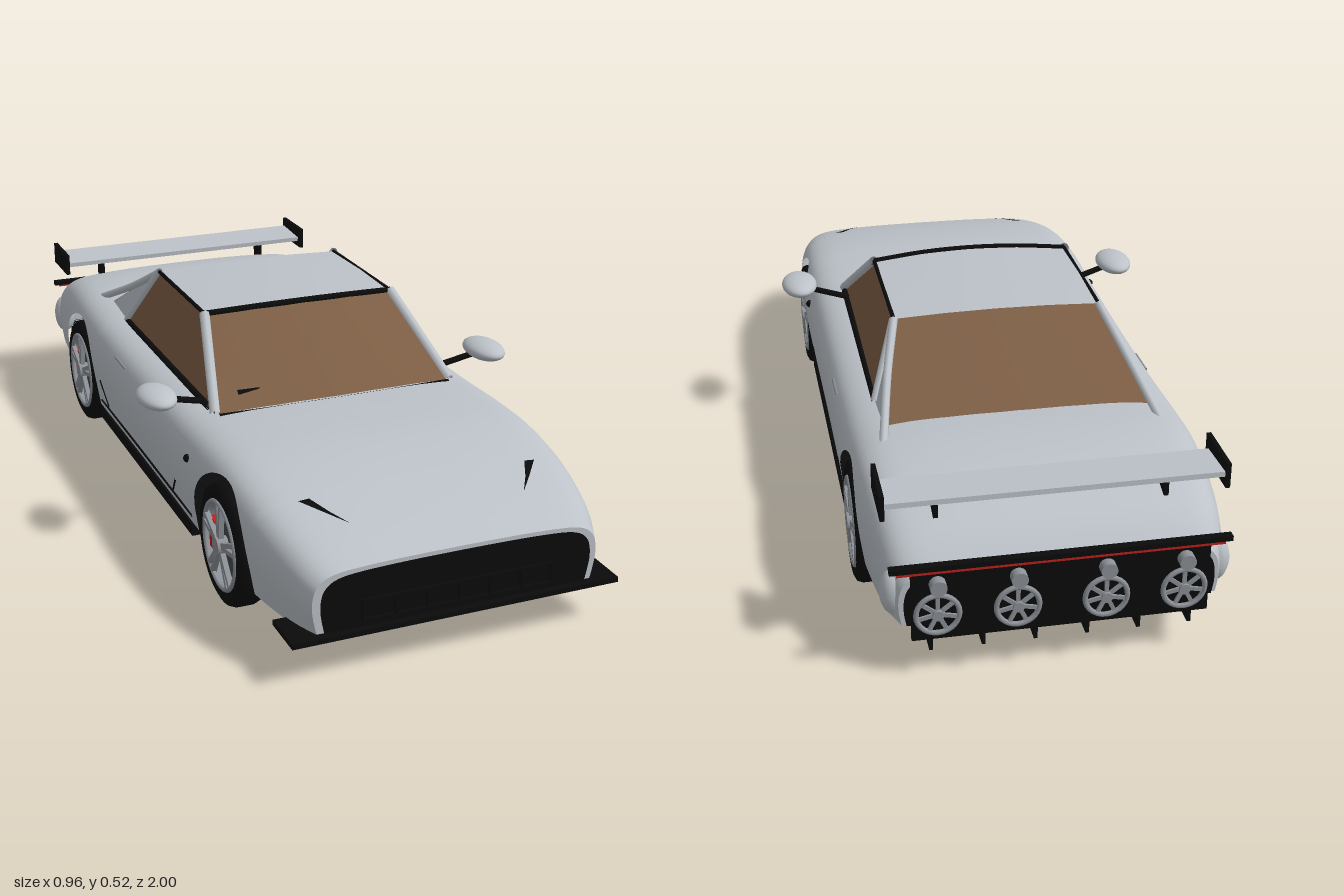
import * as THREE from 'three';

const mat = (name, color, side = THREE.FrontSide) => {
  const m = new THREE.MeshStandardMaterial({ color, side });
  m.name = name;
  return m;
};
const V = (x, y, z) => new THREE.Vector3(x, y, z);

// Body rules: [z, deck height, half width], rear to front
const STATIONS = [
  [-0.965, 0.26, 0.345], [-0.92, 0.3, 0.365], [-0.85, 0.333, 0.38], [-0.75, 0.358, 0.392],
  [-0.62, 0.369, 0.402], [-0.5, 0.363, 0.404], [-0.3, 0.351, 0.403], [0, 0.345, 0.402],
  [0.3, 0.345, 0.403], [0.45, 0.35, 0.404], [0.6, 0.348, 0.402], [0.75, 0.326, 0.392],
  [0.85, 0.3, 0.376], [0.93, 0.273, 0.355], [0.98, 0.247, 0.334]];
const rule = new THREE.CubicInterpolant(STATIONS.map(s => s[0]),
  STATIONS.flatMap(s => [s[1], s[2]]), 2, new Float32Array(2));

// Half cross-section in unit form, from the sill to the centre line
const PROFILE = new THREE.CatmullRomCurve3([
  [0.965, 0], [0.985, 0.2], [1, 0.42], [0.995, 0.62], [0.97, 0.77], [0.915, 0.88],
  [0.83, 0.94], [0.65, 0.975], [0.35, 0.995], [0, 1]].map(p => V(p[0], p[1], 0)));
const surface = (z, u) => {
  const [h, w] = rule.evaluate(z), p = PROFILE.getPoint(u);
  return V(p.x * w, 0.1 + (h - 0.1) * p.y, z);
};
const solve = test => {
  let a = 0, b = 1;
  for (let i = 0; i < 24; i++) { const m = (a + b) / 2; if (test(m)) a = m; else b = m; }
  return a;
};
const atHeight = (y, z) => surface(z, solve(u => surface(z, u).y < y));
const atWidth = (x, z) => surface(z, solve(u => u < 0.25 || surface(z, u).x > x));

const WHEELS = [0.6, -0.56], WHEEL_R = 0.142, ARCH_R = 0.163;
const sill = z => {
  for (const c of WHEELS) {
    const d = Math.abs(z - c);
    if (d <= ARCH_R) return WHEEL_R + Math.sqrt(ARCH_R * ARCH_R - d * d);
  }
  return z < -0.65 ? 0.13 : 0.1;
};

// Smooth sheet through a grid of points
function sheet(rows) {
  const g = new THREE.BufferGeometry(), n = rows[0].length, idx = [];
  g.setFromPoints(rows.flat());
  for (let i = 0; i < rows.length - 1; i++) for (let j = 0; j < n - 1; j++) {
    const a = i * n + j, b = a + n;
    idx.push(a, b, a + 1, b, b + 1, a + 1);
  }
  g.setIndex(idx);
  g.computeVertexNormals();
  return g;
}
function section(z, count = 28) {
  const u0 = solve(u => surface(z, u).y < sill(z)), half = [];
  for (let i = 0; i <= count; i++) half.push(surface(z, u0 + (1 - u0) * i / count));
  return [...half, ...half.slice(0, -1).reverse().map(p => V(-p.x, p.y, z))];
}

export function createModel() {
  const car = new THREE.Group();
  car.name = 'sportsCar';
  const silver = mat('silverPaint', 0xbcc2c8, THREE.DoubleSide);
  const black = mat('blackTrim', 0x0b0b0c, THREE.DoubleSide);
  const glass = mat('bronzeGlass', 0x7d5e45, THREE.DoubleSide);
  const metal = mat('wheelMetal', 0x8d9298, THREE.DoubleSide);
  const dark = mat('darkMetal', 0x45484c);
  const red = mat('red', 0xc0201c);

  const add = (name, geo, m, pos = [0, 0, 0], parent = car) => {
    const mesh = new THREE.Mesh(geo, m);
    mesh.name = name;
    mesh.position.set(...pos);
    parent.add(mesh);
    return mesh;
  };
  const box = (name, m, size, pos, parent) => add(name, new THREE.BoxGeometry(...size), m, pos, parent);
  const rod = (name, m, r, pts) => add(name, new THREE.TubeGeometry(
    new THREE.CatmullRomCurve3(pts), 12, r, 8), m);
  const both = fn => [1, -1].forEach(fn);

  // Body shell with open wheel arches
  const zs = [];
  for (let i = 0; i <= 80; i++) {
    const z = -0.965 + 1.945 * i / 80;
    if (WHEELS.every(c => Math.abs(z - c) > ARCH_R + 0.004)) zs.push(z);
  }
  for (const c of WHEELS) {
    zs.push(c - ARCH_R - 0.0005, c + ARCH_R + 0.0005);
    for (let i = 0; i <= 28; i++) zs.push(c + ARCH_R * 0.99999 * Math.cos(Math.PI * i / 28));
  }
  zs.sort((a, b) => a - b);
  add('bodyShell', sheet(zs.map(z => section(z))), silver);

  // Nose and tail faces, with black panels laid over them
  const cap = (name, z, k, m, at) => {
    const pts = section(z).map(p => new THREE.Vector2(p.x * k, 0.1 + (p.y - 0.1) * k));
    add(name, new THREE.ShapeGeometry(new THREE.Shape(pts)), m, [0, 0, at]);
  };
  cap('noseFace', 0.98, 1, silver, 0.98);
  cap('tailFace', -0.965, 1, silver, -0.965);
  cap('grille', 0.98, 0.95, black, 0.984);
  cap('tailPanel', -0.965, 0.97, black, -0.97);
  for (let i = 0; i < 7; i++) box('grilleBar', black, [0.006, 0.045, 0.008], [-0.222 + i * 0.074, 0.145, 0.987]);
  both(s => box('grilleRail', black, [0.45, 0.005, 0.008], [0, 0.145 + s * 0.023, 0.987]));

  // Splitter, floor, skirts and diffuser
  box('frontSplitter', black, [0.77, 0.012, 0.11], [0, 0.1, 0.945]);
  box('floor', black, [0.6, 0.02, 1.62], [0, 0.085, 0.1]);
  both(s => box('sideSkirt', black, [0.09, 0.03, 0.77], [s * 0.35, 0.085, 0.015]));
  const ramp = box('diffuser', black, [0.62, 0.008, 0.27], [0, 0.115, -0.84]);
  ramp.rotation.x = 0.13;
  for (let i = 0; i < 6; i++) box('diffuserFin', black, [0.008, 0.045, 0.22], [-0.28 + i * 0.112, 0.092, -0.87]);

  // Cabin glass and roof
  const bow = (x, y, z, dy, dz) => [-1, -0.5, 0, 0.5, 1].map(t =>
    V(x * t, y + dy * (1 - t * t), z + dz * (1 - t * t)));
  const cowl = bow(0.3, 0.335, 0.335, 0.006, 0.02), header = bow(0.25, 0.505, 0.095, 0.01, 0.02);
  const rearHeader = bow(0.25, 0.505, -0.265, 0.007, 0), rearBase = bow(0.31, 0.352, -0.51, 0.012, 0);
  add('windscreen', sheet([cowl, header]), glass);
  add('roof', sheet([header, bow(0.253, 0.508, -0.08, 0.01, 0), rearHeader]), silver);
  add('rearWindow', sheet([rearHeader, rearBase]), glass);
  rod('windscreenTopTrim', black, 0.008, header);
  rod('windscreenBaseTrim', black, 0.006, cowl);
  add('wiperMark', sheet([[V(-0.24, 0.376, 0.292), V(-0.24, 0.368, 0.304)],
    [V(-0.185, 0.377, 0.297), V(-0.185, 0.375, 0.3)]]), black);
  both(s => {
    const a = V(s * 0.25, 0.505, 0.095), b = V(s * 0.25, 0.505, -0.265);
    const c = V(s * 0.307, 0.337, 0.325), d = V(s * 0.312, 0.345, -0.37);
    const e = V(s * 0.31, 0.35, -0.52);
    add('sideWindow', sheet([[a, b], [c, d]]), glass);
    add('rearQuarter', sheet([[b, b], [d, e]]), silver);
    rod('windscreenPillar', silver, 0.013, [c, a]);
    rod('rearPillar', silver, 0.011, [b, d]);
    rod('rearButtress', silver, 0.01, [b, V(s * 0.285, 0.43, -0.4), V(s * 0.32, 0.348, -0.58)]);
    rod('roofRail', black, 0.005, [a, b]);
    rod('windowSillTrim', black, 0.008, [V(s * 0.31, 0.342, 0.29), d]);

    // Mirror on its stalk
    const mirror = add('mirror', new THREE.SphereGeometry(1, 24, 16), silver, [s * 0.433, 0.38, 0.27]);
    mirror.scale.set(0.046, 0.023, 0.074);
    rod('mirrorStalk', black, 0.008, [V(s * 0.305, 0.342, 0.25), V(s * 0.41, 0.37, 0.265)]);

    // Slim lamp slits on the bonnet
    const lift = (x, z) => { const p = atWidth(x, z); return V(s * x, p.y + 0.004, z); };
    add('lampSlit', sheet([[lift(0.285, 0.785), lift(0.26, 0.785)], [lift(0.245, 0.835), lift(0.235, 0.835)],
      [lift(0.206, 0.88), lift(0.206, 0.88)]]), black);

    // Door lines, handle and fender mark
    const line = (name, m, r, pts) => rod(name, m, r, pts.map(([y, z]) => {
      const p = atHeight(y, z); return V(s * p.x, y, z);
    }));
    line('doorLineFront', black, 0.003, [[0.175, 0.3], [0.13, 0.26]]);
    line('doorLineRear', black, 0.003, [[0.19, -0.345], [0.13, -0.295]]);
    line('doorLineLower', black, 0.003, [[0.122, 0.4], [0.122, -0.37]]);
    line('doorHandle', metal, 0.004, [[0.294, -0.14], [0.296, -0.23]]);
    const p = atHeight(0.267, 0.39);
    add('fenderMark', new THREE.SphereGeometry(0.01, 12, 8), black, [s * p.x, 0.267, 0.39]);
    const marker = add('rearCornerLamp', new THREE.SphereGeometry(1, 16, 12), silver, [s * 0.35, 0.19, -0.925]);
    marker.scale.set(0.03, 0.055, 0.03);

    // Wing end plate and strut
    box('wingEndPlate', black, [0.01, 0.058, 0.14], [s * 0.368, 0.386, -0.85]);
    box('wingStrut', black, [0.01, 0.06, 0.04], [s * 0.25, 0.352, -0.85]);
  });
  const wing = box('rearWing', silver, [0.73, 0.012, 0.115], [0, 0.383, -0.855]);
  wing.rotation.x = 0.06;

  // Tail lip, light strip and four fan outlets with pipes
  box('tailLip', black, [0.73, 0.012, 0.018], [0, 0.272, -0.976]);
  box('tailLightStrip', red, [0.7, 0.006, 0.008], [0, 0.262, -0.979]);
  box('tailBoard', black, [0.64, 0.17, 0.012], [0, 0.18, -0.971]);
  for (const x of [-0.265, -0.095, 0.095, 0.265]) {
    const fan = new THREE.Group();
    fan.name = 'tailFan';
    fan.position.set(x, 0.158, -0.98);
    car.add(fan);
    add('fanRing', new THREE.TorusGeometry(0.046, 0.006, 8, 28), metal, [0, 0, 0], fan);
    add('fanHub', new THREE.CylinderGeometry(0.012, 0.012, 0.014, 16).rotateX(Math.PI / 2), metal, [0, 0, -0.002], fan);
    for (let i = 0; i < 7; i++) {
      const a = i * Math.PI * 2 / 7;
      box('fanBlade', metal, [0.009, 0.036, 0.005], [-Math.sin(a) * 0.026, Math.cos(a) * 0.026, 0], fan).rotation.z = a;
    }
    add('tailPipe', new THREE.CylinderGeometry(0.018, 0.018, 0.028, 18).rotateX(Math.PI / 2), metal, [x, 0.232, -0.986]);
  }

  // Wheels with spokes, discs and calipers
  const tyreProfile = [[0.104, -0.032], [0.125, -0.036], [0.137, -0.03], [0.142, -0.018],
    [0.142, 0.018], [0.137, 0.03], [0.125, 0.036], [0.104, 0.032]].map(p => new THREE.Vector2(...p));
  const tyreGeo = new THREE.LatheGeometry(tyreProfile, 44).rotateZ(Math.PI / 2);
  const axle = (r, w) => new THREE.CylinderGeometry(r, r, w, 32).rotateZ(Math.PI / 2);
  for (const z of WHEELS) both(s => {
    const w = new THREE.Group();
    w.name = 'wheel';
    w.position.set(s * 0.365, WHEEL_R, z);
    car.add(w);
    add('tyre', tyreGeo, black, [0, 0, 0], w);
    add('rimBarrel', new THREE.CylinderGeometry(0.104, 0.104, 0.062, 36, 1, true).rotateZ(Math.PI / 2), metal, [0, 0, 0], w);
    add('rimRing', new THREE.TorusGeometry(0.101, 0.006, 8, 40).rotateY(Math.PI / 2), metal, [s * 0.032, 0, 0], w);
    add('wheelBack', axle(0.103, 0.008), black, [-s * 0.02, 0, 0], w);
    add('brakeDisc', axle(0.078, 0.01), dark, [s * 0.004, 0, 0], w);
    box('brakeCaliper', red, [0.022, 0.075, 0.032], [s * 0.016, -0.002, -0.067], w);
    add('hub', axle(0.021, 0.026), metal, [s * 0.03, 0, 0], w);
    for (let i = 0; i < 5; i++) for (const d of [-0.11, 0.11]) {
      const a = i * Math.PI * 2 / 5 + d;
      box('spoke', metal, [0.012, 0.088, 0.011],
        [s * 0.031, Math.cos(a) * 0.057, Math.sin(a) * 0.057], w).rotation.x = a;
    }
  });
  return car;
}
